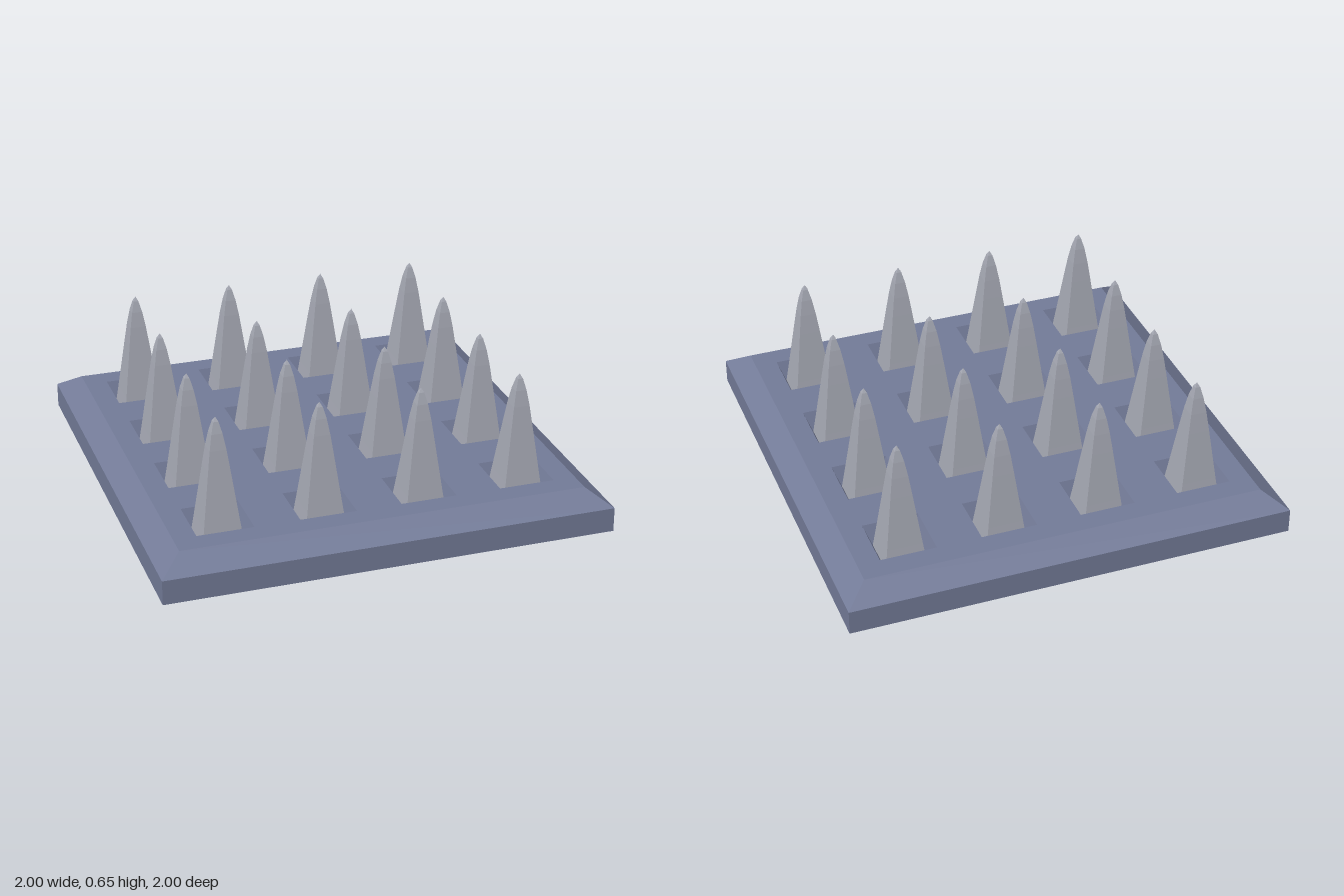
import * as THREE from 'three';

const SPOTS = [-0.675, -0.225, 0.225, 0.675];
const blue = new THREE.MeshStandardMaterial({ color: 0x737b98, flatShading: true });
const steel = new THREE.MeshStandardMaterial({ color: 0xa6a9b4, flatShading: true });

// Square tower through [half width, y] rings; rings listed downwards face inwards
function squareLoft(rings) {
  const points = rings.map(([half, y]) => new THREE.Vector2(half * Math.SQRT2, y));
  return new THREE.LatheGeometry(points, 4, Math.PI / 4);
}

function squarePath(path, cx, cy, half) {
  path.moveTo(cx - half, cy - half);
  path.lineTo(cx + half, cy - half);
  path.lineTo(cx + half, cy + half);
  path.lineTo(cx - half, cy + half);
  path.closePath();
  return path;
}

// Flat square sheet with a grid of square openings
function piercedSheet(half, holeHalf) {
  const shape = squarePath(new THREE.Shape(), 0, 0, half);
  for (const x of SPOTS) {
    for (const z of SPOTS) shape.holes.push(squarePath(new THREE.Path(), x, z, holeHalf));
  }
  return new THREE.ShapeGeometry(shape);
}

export function createModel() {
  const model = new THREE.Group();
  const add = (parent, name, geometry, material) => {
    const mesh = new THREE.Mesh(geometry, material);
    mesh.name = name;
    parent.add(mesh);
    return mesh;
  };

  // Base plate: straight sides, bevelled rim, pierced top and underside
  const plate = new THREE.Group();
  plate.name = 'basePlate';
  model.add(plate);
  add(plate, 'plateSides', squareLoft([[1, 0], [1, 0.11], [0.9, 0.18]]), blue);
  const top = piercedSheet(0.9, 0.125).rotateX(-Math.PI / 2).translate(0, 0.18, 0);
  add(plate, 'plateTop', top, blue);
  add(plate, 'plateUnderside', piercedSheet(1, 0.14).rotateX(Math.PI / 2), blue);

  // Sloped socket, underside recess and tapering spike at each grid spot
  const socket = squareLoft([[0.125, 0.18], [0.09, 0.09], [0, 0.09]]);
  const recess = squareLoft([[0, 0.05], [0.14, 0.05], [0.14, 0]]);
  const spike = squareLoft([
    [0.091, 0.09], [0.079, 0.18], [0.048, 0.42], [0.036, 0.51],
    [0.024, 0.58], [0.011, 0.63], [0, 0.65],
  ]);
  for (const x of SPOTS) {
    for (const z of SPOTS) {
      const cell = new THREE.Group();
      cell.name = 'spikeCell';
      cell.position.set(x, 0, z);
      add(cell, 'socket', socket, blue);
      add(cell, 'undersideRecess', recess, blue);
      add(cell, 'spike', spike, steel);
      model.add(cell);
    }
  }
  return model;
}
